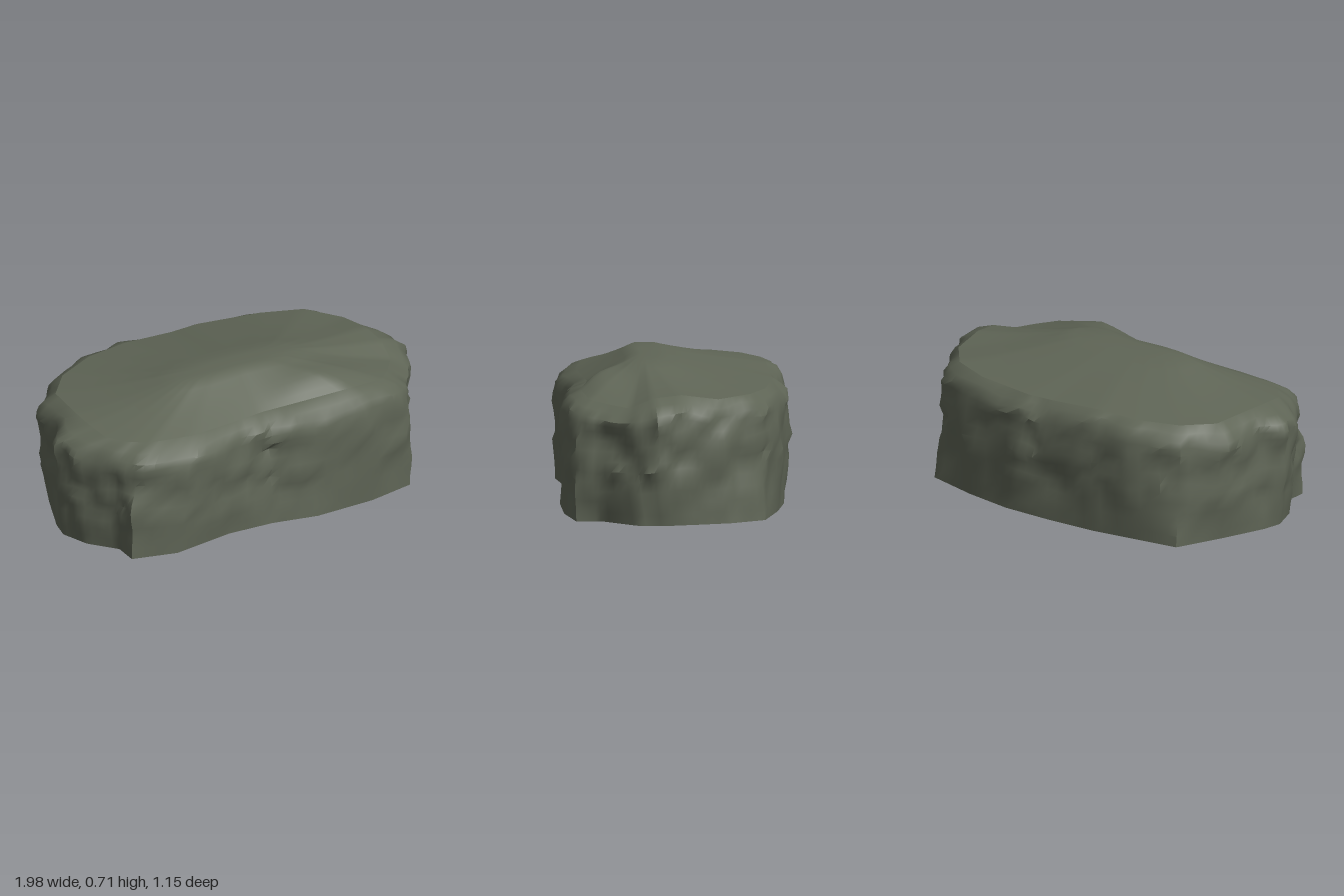
import * as THREE from 'three';
import { toCreasedNormals } from 'three/addons/utils/BufferGeometryUtils.js';

const SPLIT = 5; // columns between neighbouring outline points

// Matching outlines from the front centre round by +x: x, z pairs
const BASE = [
  [0, 0.505], [0.23, 0.55], [0.54, 0.54], [0.78, 0.49], [0.78, 0.37], [0.94, 0.18],
  [0.94, 0.06], [0.9, -0.12], [0.865, -0.26], [0.77, -0.43], [0.5, -0.5], [0.25, -0.54],
  [0, -0.54], [-0.28, -0.525], [-0.5, -0.49], [-0.73, -0.455], [-0.83, -0.23], [-0.92, 0],
  [-0.94, 0.1], [-0.89, 0.24], [-0.78, 0.37], [-0.78, 0.49], [-0.555, 0.545], [-0.235, 0.495],
];
const SHOULDER = [
  [0, 0.505], [0.22, 0.54], [0.5, 0.565], [0.78, 0.495], [0.83, 0.39], [0.93, 0.23],
  [0.995, 0.1], [0.925, -0.05], [0.865, -0.22], [0.74, -0.41], [0.52, -0.515], [0.15, -0.565],
  [0, -0.54], [-0.28, -0.555], [-0.5, -0.54], [-0.73, -0.42], [-0.88, -0.24], [-0.93, -0.02],
  [-0.99, 0.1], [-0.92, 0.25], [-0.83, 0.39], [-0.77, 0.485], [-0.5, 0.56], [-0.23, 0.525],
];
// Rim of the crown: x, z, height
const RIM = [
  [0, 0.41, 0.568], [0.22, 0.43, 0.58], [0.45, 0.46, 0.6], [0.66, 0.42, 0.58],
  [0.74, 0.34, 0.57], [0.82, 0.23, 0.56], [0.83, 0.12, 0.61], [0.82, -0.02, 0.625],
  [0.8, -0.2, 0.6], [0.67, -0.36, 0.605], [0.47, -0.44, 0.6], [0.15, -0.49, 0.6],
  [0, -0.48, 0.6], [-0.27, -0.47, 0.615], [-0.48, -0.45, 0.605], [-0.68, -0.36, 0.595],
  [-0.8, -0.22, 0.59], [-0.82, 0.02, 0.595], [-0.82, 0.14, 0.59], [-0.8, 0.27, 0.575],
  [-0.73, 0.36, 0.57], [-0.63, 0.42, 0.57], [-0.42, 0.45, 0.565], [-0.2, 0.43, 0.565],
];
// Wall profile: part of rim height, blend to shoulder, blend to rim, roughness
const WALL = [
  [0, 0, 0, 0], [0.09, 0.15, 0, 0.15], [0.18, 0.35, 0, 0.4], [0.27, 0.5, 0, 0.7],
  [0.36, 0.65, 0, 1], [0.44, 0.75, 0, 1], [0.52, 0.8, 0, 1], [0.6, 0.85, 0, 1],
  [0.68, 0.9, 0, 1], [0.76, 0.95, 0, 1], [0.83, 1, 0.02, 1], [0.89, 1, 0.12, 1],
  [0.95, 1, 0.42, 0.6], [1, 1, 1, 0],
];

const lerp = THREE.MathUtils.lerp;
const mix = (a, b, t) => a.map((v, i) => lerp(v, b[i], t));

// Adds even columns along the straight sides of a closed outline
function divide(points) {
  return points.flatMap((p, i) => Array.from({ length: SPLIT },
    (_, k) => mix(p, points[(i + 1) % points.length], k / SPLIT)));
}

// Smooth repeatable noise for weathered stone
function hash(x, y, z) {
  const s = Math.sin(x * 127.1 + y * 311.7 + z * 74.7) * 43758.5453;
  return (s - Math.floor(s)) * 2 - 1;
}
function noise(x, y, z) {
  const c = [x, y, z].map(Math.floor);
  const f = [x, y, z].map((v, i) => THREE.MathUtils.smoothstep(v - c[i], 0, 1));
  let sum = 0;
  for (let i = 0; i < 8; i++) {
    const d = [i & 1, (i >> 1) & 1, i >> 2];
    const w = d.reduce((acc, on, k) => acc * (on ? f[k] : 1 - f[k]), 1);
    sum += w * hash(c[0] + d[0], c[1] + d[1], c[2] + d[2]);
  }
  return sum;
}

// Joins closed rings, listed from bottom to top, into one surface
function loft(rings) {
  const n = rings[0].length, index = [];
  for (let r = 0; r < rings.length - 1; r++) {
    for (let i = 0; i < n; i++) {
      const a = r * n + i, b = r * n + (i + 1) % n;
      index.push(a, b, b + n, a, b + n, a + n);
    }
  }
  const geometry = new THREE.BufferGeometry();
  geometry.setAttribute('position', new THREE.Float32BufferAttribute(rings.flat(2), 3));
  geometry.setIndex(index);
  geometry.computeVertexNormals();
  return geometry;
}

export function createModel() {
  const group = new THREE.Group();
  group.name = 'boulder';
  const stone = new THREE.MeshStandardMaterial({ color: 0x5f6556, side: THREE.DoubleSide });
  stone.name = 'mossy grey stone';

  const base = divide(BASE), shoulder = divide(SHOULDER), rim = divide(RIM);

  // Craggy side wall, open underneath, with notched front corners
  const wallRings = WALL.map(([up, toShoulder, toRim, rough]) => rim.map(([rx, rz, ry], i) => {
    const [x, z] = mix(mix(base[i], shoulder[i], toShoulder), [rx, rz], toRim);
    const y = ry * up;
    const bump = noise(x * 6, y * 8, z * 6) * 0.022 + noise(x * 14 + 7, y * 16, z * 14) * 0.024;
    const push = 1 + rough * (bump - 0.005) / Math.hypot(x, z);
    const lift = noise(x * 7 + 3, y * 5, z * 7) * 0.025 * rough;
    return [x * push, y + lift, z * push];
  }));
  const wall = new THREE.Mesh(toCreasedNormals(loft(wallRings), 0.8), stone);
  wall.name = 'craggyWall';

  // Broad worn crown, sloping from the rim up to a small level summit,
  // with a low swelling above the front on the +x side
  const crownRings = [0, 0.12, 0.25, 0.4, 0.55, 0.7, 0.85, 1].map((t) => rim.map(([x, z, y]) => {
    const px = lerp(x, x * 0.39, t), pz = lerp(z, 0.115 + z * 0.19, t);
    const swell = 0.03 * Math.exp(-(((px - 0.35) / 0.22) ** 2) - ((pz - 0.36) / 0.1) ** 2);
    const arc = Math.sin(Math.PI * t);
    return [px, lerp(y, 0.707, t) - 0.012 * arc * Math.abs(x) + swell * Math.min(1, 2 * arc), pz];
  }));
  crownRings.push(rim.map(([x, z]) => [x * 0.18, 0.709, 0.115 + z * 0.09]));
  crownRings.push(rim.map(() => [0, 0.709, 0.115]));
  const crown = new THREE.Mesh(loft(crownRings), stone);
  crown.name = 'wornCrown';

  group.add(wall, crown);
  return group;
}
